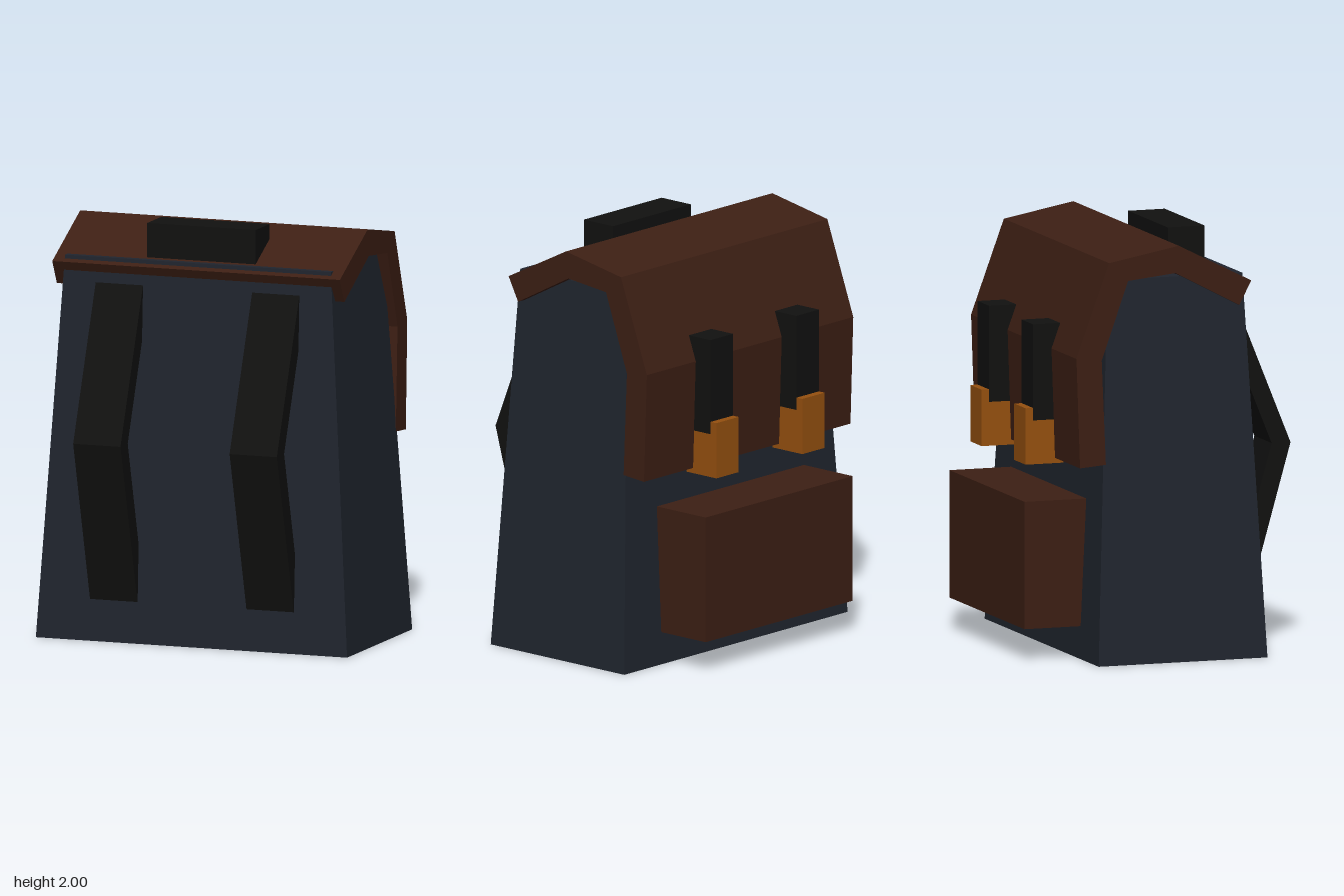
import * as THREE from 'three';

const material = (color) => new THREE.MeshStandardMaterial({ color, flatShading: true });

export function createModel() {
  const group = new THREE.Group();
  const canvas = material(0x20252e);
  const leather = material(0x3d1f14);
  const webbing = material(0x111110);
  const brass = material(0x95500f);

  const add = (name, geometry, mat) => {
    const mesh = new THREE.Mesh(geometry, mat);
    mesh.name = name;
    group.add(mesh);
    return mesh;
  };

  // Box given by its limits on each axis
  const box = (name, [x0, x1], [y0, y1], [z0, z1], mat) => {
    const mesh = add(name, new THREE.BoxGeometry(x1 - x0, y1 - y0, z1 - z0), mat);
    mesh.position.set((x0 + x1) / 2, (y0 + y1) / 2, (z0 + z1) / 2);
    return mesh;
  };

  // Side profile of [z, y] points, extruded along x and centred on x
  const profile = (name, points, width, x, mat) => {
    const shape = new THREE.Shape(points.map(([z, y]) => new THREE.Vector2(z, y)));
    const geometry = new THREE.ExtrudeGeometry(shape, { depth: width, bevelEnabled: false });
    geometry.translate(0, 0, -width / 2).rotateY(-Math.PI / 2);
    add(name, geometry, mat).position.x = x;
  };

  // Body: a box that narrows towards the top
  const body = new THREE.BoxGeometry(1.58, 1.83, 0.85);
  body.translate(0, 0.915, 0.03);
  const p = body.attributes.position;
  for (let i = 0; i < p.count; i++) {
    if (p.getY(i) > 1) p.setXYZ(i, Math.sign(p.getX(i)) * 0.675, 1.83, p.getZ(i) > 0 ? 0.37 : -0.31);
  }
  body.computeVertexNormals();
  add('body', body, canvas);

  // Flap folded over the top and down the pocket side
  profile('flap', [
    [0.395, 1.8], [0.03, 1.985], [-0.32, 1.92], [-0.485, 1.47], [-0.467, 0.945],
    [-0.337, 0.955], [-0.358, 1.455], [-0.225, 1.83], [0.015, 1.855], [0.335, 1.685],
  ], 1.46, 0, leather);

  box('carryHandle', [-0.275, 0.275], [1.78, 2], [0.14, 0.325], webbing);
  box('pocket', [-0.52, 0.52], [0.155, 0.765], [-0.67, -0.33], leather);

  for (const [side, s] of [['left', 1], ['right', -1]]) {
    // Shoulder strap bent outwards, its ends sunk in the body
    profile(`${side}ShoulderStrap`, [
      [0.375, 1.71], [0.67, 0.98], [0.45, 0.2], [0.355, 0.2], [0.575, 0.98], [0.28, 1.71],
    ], 0.24, s * 0.397, webbing);

    // Closing strap and its buckle
    const x = s * 0.304;
    box(`${side}ClosingStrap`, [x - 0.08, x + 0.08], [1.13, 1.59], [-0.578, -0.44], webbing);
    box(`${side}Buckle`, [x - 0.079, x + 0.079], [0.92, 1.19], [-0.615, -0.425], brass);
  }

  return group;
}
